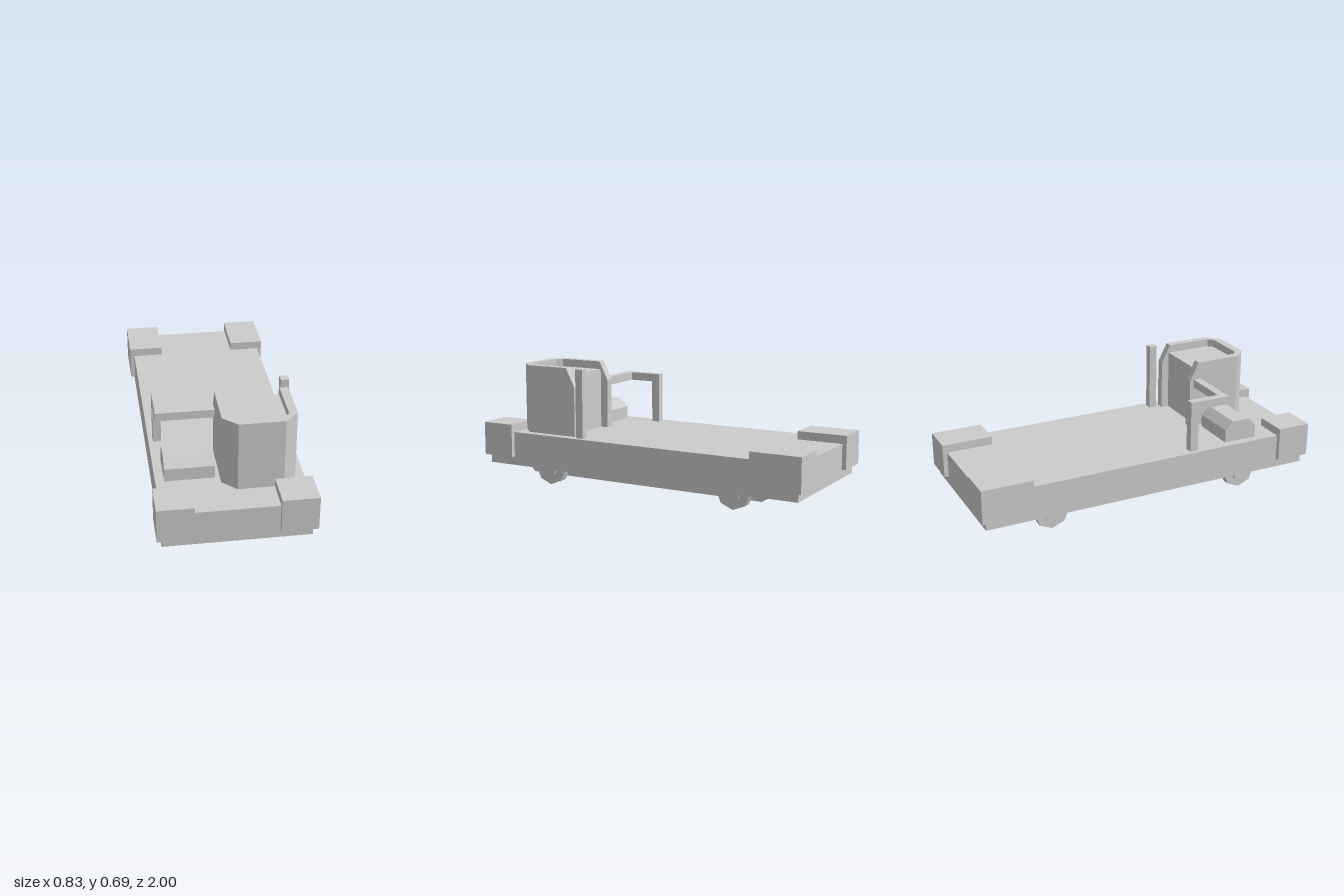
import * as THREE from 'three';

const material = new THREE.MeshStandardMaterial({ color: 0xcccccc, flatShading: true });

export function createModel() {
  const model = new THREE.Group();

  function add(name, geometry) {
    const mesh = new THREE.Mesh(geometry, material);
    mesh.name = name;
    model.add(mesh);
    return mesh;
  }

  // Box given by its limits on each axis
  function box(name, [x0, x1], [y0, y1], [z0, z1]) {
    const g = new THREE.BoxGeometry(x1 - x0, y1 - y0, z1 - z0);
    return add(name, g.translate((x0 + x1) / 2, (y0 + y1) / 2, (z0 + z1) / 2));
  }

  function extrude(points, depth) {
    const shape = new THREE.Shape(points.map(([a, b]) => new THREE.Vector2(a, b)));
    return new THREE.ExtrudeGeometry(shape, { depth, bevelEnabled: false });
  }

  // Side profile of (z, y) points, swept across x
  function sideProfile(name, points, x0, x1) {
    return add(name, extrude(points, x1 - x0).rotateY(-Math.PI / 2).translate(x1, 0, 0));
  }

  // Floor plan of (x, z) points, raised along y
  function floorPlan(name, points, y0, y1) {
    return add(name, extrude(points, y1 - y0).rotateX(Math.PI / 2).translate(0, y1, 0));
  }

  // Flat load bed and the tapered chassis beneath it
  const deck = 0.295;
  box('loadBed', [-0.39, 0.39], [0.1, deck], [-0.975, 0.975]);
  sideProfile('chassis', [[-0.78, 0.1], [-0.73, 0.052], [0.73, 0.052], [0.78, 0.1]], -0.295, 0.295);

  // Corner blocks, wheels and hubs on both sides
  for (const side of [-1, 1]) {
    const xs = [0.22, 0.415].map((x) => x * side).sort((a, b) => a - b);
    box('frontCornerBlock', xs, [0.15, 0.342], [0.805, 1]);
    box('rearCornerBlock', xs, [0.15, 0.342], [-1, -0.71]);
    for (const z of [0.585, -0.585]) {
      const wheel = new THREE.CylinderGeometry(0.1, 0.1, 0.047, 8).rotateZ(Math.PI / 2);
      add('wheel', wheel.translate(side * 0.3175, 0.1, z));
      const hub = new THREE.CylinderGeometry(0.05, 0.05, 0.03, 8).rotateZ(Math.PI / 2);
      add('wheelHub', hub.translate(side * 0.35, 0.1, z));
    }
  }

  // Cab shell: chamfered front wall and two side walls cut back at the top
  const top = 0.685;
  floorPlan('cabFrontWall', [
    [-0.05, 0.73], [0.025, 0.803], [0.267, 0.803], [0.34, 0.73],
    [0.295, 0.73], [0.267, 0.757], [0.025, 0.757], [-0.005, 0.73],
  ], deck, top);
  const wall = [[0.415, deck], [0.73, deck], [0.73, top], [0.468, top], [0.415, 0.58]];
  sideProfile('cabSideWall', wall, -0.05, -0.005);
  sideProfile('cabSideWall', wall, 0.295, 0.34);

  // Console filling the cab, a little below the rim
  floorPlan('cabConsole', [
    [-0.005, 0.46], [0.295, 0.46], [0.295, 0.73], [0.267, 0.757], [0.025, 0.757], [-0.005, 0.73],
  ], deck, 0.64);

  // Upright post behind the cab
  box('post', [0.318, 0.363], [deck, top], [0.345, 0.39]);

  // Chamfered engine cover beside the cab
  sideProfile('engineCover', [
    [0.485, deck], [0.682, deck], [0.682, 0.368], [0.635, 0.415], [0.532, 0.415], [0.485, 0.368],
  ], -0.342, -0.075);

  // Handrail: L-shaped top bar and its leg
  floorPlan('handrail', [
    [-0.365, 0.245], [-0.32, 0.245], [-0.32, 0.437], [-0.05, 0.437], [-0.05, 0.482], [-0.365, 0.482],
  ], 0.54, 0.586);
  box('handrailLeg', [-0.365, -0.32], [deck, 0.54], [0.245, 0.293]);

  return model;
}
